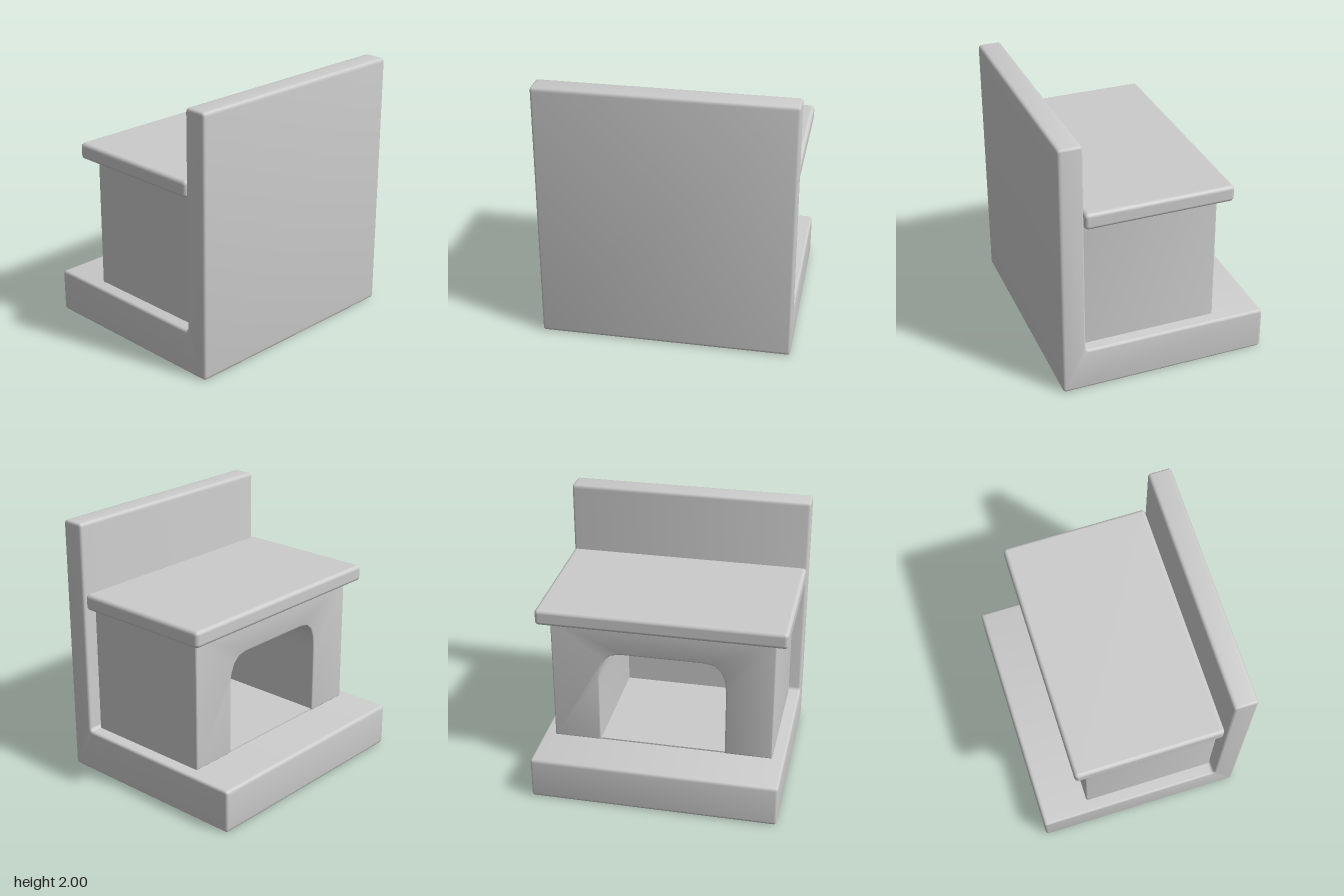
import * as THREE from 'three';
import { toCreasedNormals } from 'three/addons/utils/BufferGeometryUtils.js';
import { RoundedBoxGeometry } from 'three/addons/geometries/RoundedBoxGeometry.js';

const material = new THREE.MeshStandardMaterial({ color: 0xcccccc });

function part(name, geometry) {
  const mesh = new THREE.Mesh(geometry, material);
  mesh.name = name;
  return mesh;
}

// Extrudes a shape to an exact depth centred on z = 0, with softened edges
function softExtrude(shape, depth, bevel) {
  const geometry = new THREE.ExtrudeGeometry(shape, {
    depth: depth - 2 * bevel, curveSegments: 4,
    bevelEnabled: true, bevelSize: bevel, bevelThickness: bevel,
    bevelOffset: -bevel, bevelSegments: 3,
  });
  geometry.translate(0, 0, bevel - depth / 2);
  return toCreasedNormals(geometry, 0.6);
}

// L-shaped profile with rounded corners: hearth slab and back wall in one piece
function hearthProfile() {
  const corners = [[-0.8, 0], [0.8, 0], [0.8, 2], [0.62, 2], [0.62, 0.333], [-0.8, 0.333]]
    .map(([x, y]) => new THREE.Vector2(x, y));
  const shape = new THREE.Shape();
  corners.forEach((c, i) => {
    const toward = (p) => p.clone().sub(c).setLength(0.03).add(c);
    const a = toward(corners[(i + 5) % 6]);
    const b = toward(corners[(i + 1) % 6]);
    if (i === 0) shape.moveTo(a.x, a.y);
    else shape.lineTo(a.x, a.y);
    shape.quadraticCurveTo(c.x, c.y, b.x, b.y);
  });
  shape.closePath();
  return shape;
}

// Firebox face, with the arched opening cut up from its bottom edge
function fireboxProfile() {
  const w = 0.85, bottom = 0.335, top = 1.35;
  const o = 0.485, spring = 0.87, crown = 1.105;
  const shape = new THREE.Shape();
  shape.moveTo(o, bottom);
  shape.lineTo(w, bottom);
  shape.lineTo(w, top);
  shape.lineTo(-w, top);
  shape.lineTo(-w, bottom);
  shape.lineTo(-o, bottom);
  shape.lineTo(-o, spring);
  shape.quadraticCurveTo(-o, crown, -0.32, crown);
  shape.lineTo(0.32, crown);
  shape.quadraticCurveTo(o, crown, o, spring);
  shape.closePath();
  return shape;
}

export function createModel() {
  const model = new THREE.Group();
  model.name = 'fireplace';

  model.add(part('hearthAndBackWall', softExtrude(hearthProfile(), 1.89, 0.02)));

  // Firebox opens toward -x
  const firebox = part('firebox', softExtrude(fireboxProfile(), 1.035, 0.012));
  firebox.rotation.y = Math.PI / 2;
  firebox.position.x = 0.0925;
  model.add(firebox);

  const floor = part('fireboxFloor', new THREE.BoxGeometry(1.0, 0.012, 1.0));
  floor.position.set(0.09, 0.339, 0);
  model.add(floor);

  const back = part('fireboxBack', new THREE.BoxGeometry(0.08, 0.8, 1.0));
  back.position.set(0.56, 0.74, 0);
  model.add(back);

  // Mantel shelf with a slim moulding under it
  const mantel = part('mantelShelf', new RoundedBoxGeometry(1.13, 0.125, 1.88, 3, 0.03));
  mantel.position.set(0.045, 1.4025, 0);
  model.add(mantel);

  const moulding = part('mantelMoulding', new RoundedBoxGeometry(1.05, 0.03, 1.74, 2, 0.012));
  moulding.position.set(0.085, 1.335, 0);
  model.add(moulding);

  return model;
}
